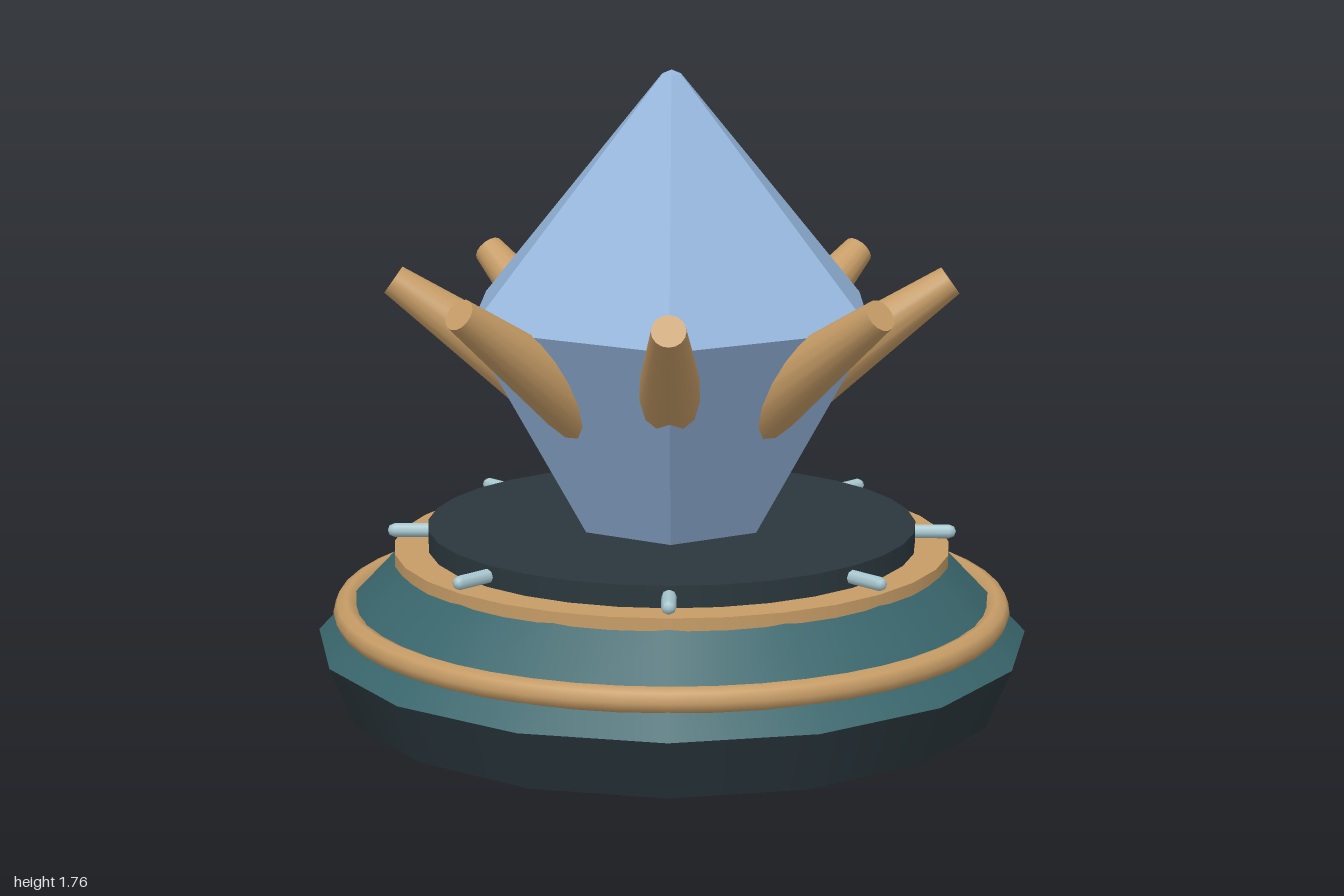
import * as THREE from 'three';

const material = (name, color) => {
  const m = new THREE.MeshStandardMaterial({ color });
  m.name = name;
  return m;
};

export function createModel() {
  const model = new THREE.Group();
  model.name = 'crystalPedestal';

  const charcoal = material('charcoal', 0x2a373d);
  const teal = material('teal', 0x39666c);
  const gold = material('gold', 0xc69c66);
  const silver = material('paleSilver', 0xa9c8d0);
  const crystalBlue = material('crystalBlue', 0x93b4da);
  crystalBlue.flatShading = true;

  const add = (name, geometry, mat, parent = model) => {
    const mesh = new THREE.Mesh(geometry, mat);
    mesh.name = name;
    parent.add(mesh);
    return mesh;
  };
  // Round tier between two heights
  const tier = (name, rBottom, rTop, y0, y1, sides, mat) => {
    const g = new THREE.CylinderGeometry(rTop, rBottom, y1 - y0, sides);
    g.translate(0, (y0 + y1) / 2, 0);
    return add(name, g, mat);
  };

  // Stepped pedestal
  tier('foot', 0.93, 1.0, 0, 0.17, 16, charcoal);
  tier('slopedBody', 1.0, 0.78, 0.17, 0.4, 16, teal);
  tier('collar', 0.78, 0.78, 0.395, 0.43, 32, gold);
  tier('topDisc', 0.685, 0.685, 0.43, 0.49, 32, charcoal);

  // Gold band around the sloped body
  const band = new THREE.TorusGeometry(0.915, 0.036, 8, 48);
  band.rotateX(Math.PI / 2);
  add('band', band, gold).position.y = 0.255;

  // Six-sided crystal with a small blunt apex
  const profile = [[0, 0.47], [0.26, 0.47], [0.62, 1.09], [0.03, 1.745], [0, 1.757]]
    .map(([r, y]) => new THREE.Vector2(r, y));
  add('crystal', new THREE.LatheGeometry(profile, 6), crystalBlue);

  // Tapered prong, tip outwards along +x, and short peg in the disc's rim
  const prongLength = 0.55;
  const prongTilt = THREE.MathUtils.degToRad(35);
  const prong = new THREE.CylinderGeometry(0.045, 0.105, prongLength, 16);
  prong.translate(0, -prongLength / 2, 0);
  prong.rotateZ(prongTilt - Math.PI / 2);
  prong.translate(0.77, 1.175, 0);

  const peg = new THREE.CapsuleGeometry(0.02, 0.14, 2, 8);
  peg.rotateZ(Math.PI / 2);
  peg.translate(0.71, 0.46, 0);

  // Eight of each, evenly spaced
  for (let i = 0; i < 8; i++) {
    const arm = new THREE.Group();
    arm.name = `arm${i + 1}`;
    arm.rotation.y = (i * Math.PI) / 4;
    add('prong', prong, gold, arm);
    add('peg', peg, silver, arm);
    model.add(arm);
  }

  return model;
}
